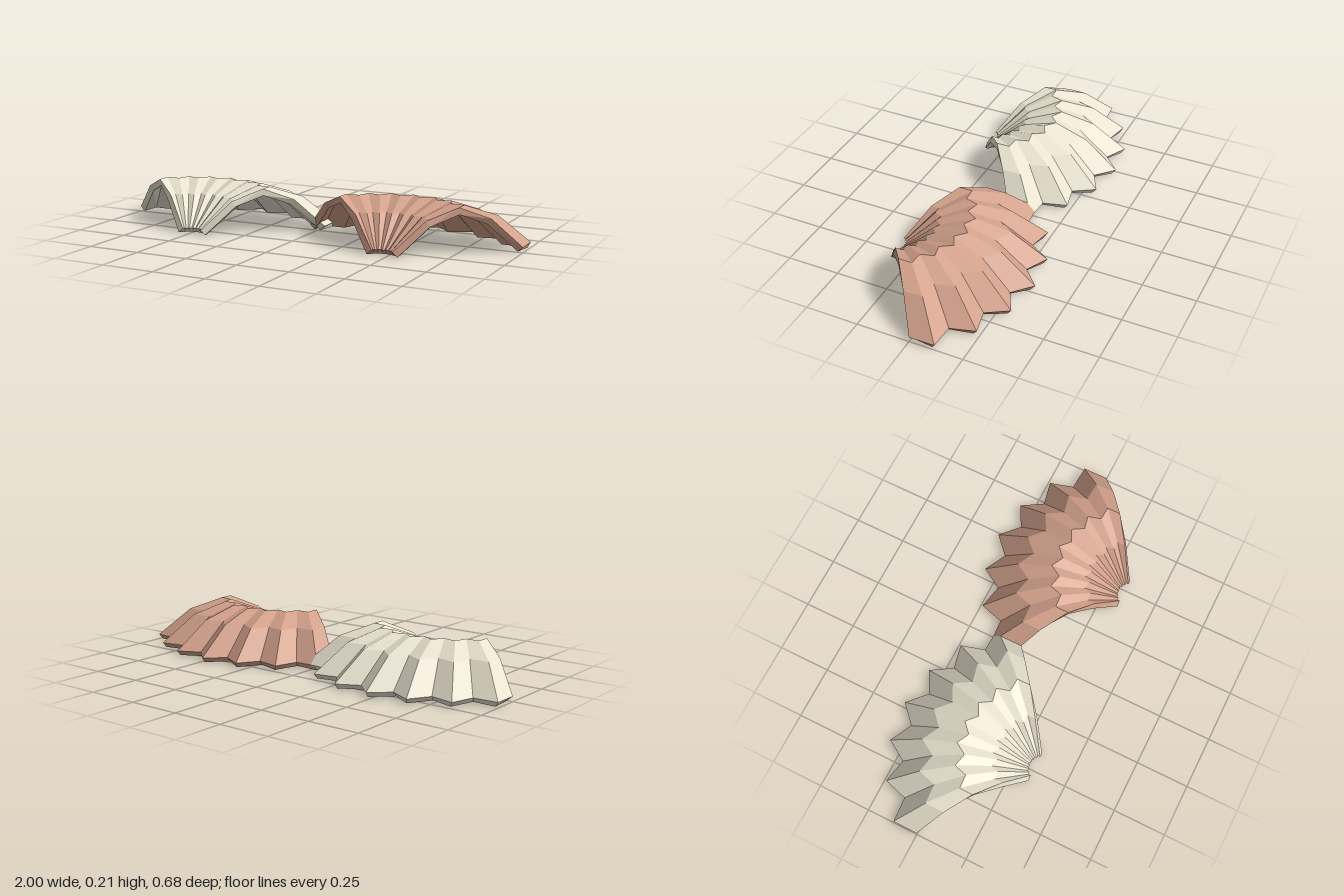
import * as THREE from 'three';

const RIBS = 14;              // folds across the fan
const BANDS = 4;              // facets along the arch
const HALF_ANGLE = THREE.MathUtils.degToRad(54.1);
const OUTER = 0.715, INNER = 0.067, VALLEY = 0.896;
const BASE = 0.025, RISE = 0.186, THICK = 0.031, PIVOT_Z = 0.375;

// Pleated fan, arched from the hinge to the rim, with a thin solid wall
function shellGeometry() {
  const row = BANDS + 1, count = (RIBS + 1) * row;
  const top = [], faces = [];
  for (let i = 0; i <= RIBS; i++) {
    const angle = HALF_ANGLE * (2 * i / RIBS - 1);
    const fold = i % 2 ? 1 : VALLEY;   // ridges and valleys alternate
    for (let j = 0; j <= BANDS; j++) {
      const t = j / BANDS;
      const r = fold * THREE.MathUtils.lerp(INNER, OUTER, t);
      top.push(r * Math.sin(angle), BASE + RISE * Math.sin(Math.PI * t), PIVOT_Z - r * Math.cos(angle));
    }
  }
  const quad = (a, b, c, d) => faces.push(a, b, c, a, c, d);
  for (let i = 0; i < RIBS; i++) {
    for (let j = 0; j < BANDS; j++) {
      const a = i * row + j;
      quad(a, a + row, a + row + 1, a + 1);
    }
  }
  const skin = new THREE.BufferGeometry();
  skin.setAttribute('position', new THREE.Float32BufferAttribute(top, 3));
  skin.setIndex([...faces]);
  skin.computeVertexNormals();

  // Underside: the outer skin pushed inwards along its normals
  const normals = skin.attributes.normal.array;
  const under = top.map((v, k) => v - THICK * normals[k]);
  const upper = faces.slice();
  for (let k = 0; k < upper.length; k += 3) {
    faces.push(upper[k] + count, upper[k + 2] + count, upper[k + 1] + count);
  }

  // Walls closing the hinge, the rim and both ends
  const wall = (a, b) => quad(b, a, a + count, b + count);
  for (let i = 0; i < RIBS; i++) {
    wall(i * row, (i + 1) * row);
    wall((i + 1) * row + BANDS, i * row + BANDS);
  }
  for (let j = 0; j < BANDS; j++) {
    wall(j + 1, j);
    wall(RIBS * row + j, RIBS * row + j + 1);
  }

  const geometry = new THREE.BufferGeometry();
  geometry.setAttribute('position', new THREE.Float32BufferAttribute([...top, ...under], 3));
  geometry.setIndex(faces);
  const flat = geometry.toNonIndexed();
  flat.computeVertexNormals();
  return flat;
}

export function createModel() {
  const group = new THREE.Group();
  const geometry = shellGeometry();
  const addShell = (name, x, color) => {
    const material = new THREE.MeshStandardMaterial({ color, flatShading: true, side: THREE.DoubleSide });
    const mesh = new THREE.Mesh(geometry, material);
    mesh.name = name;
    mesh.position.x = x;
    group.add(mesh);
  };
  addShell('creamScallopShell', -0.481, 0xeae3d0);
  addShell('pinkScallopShell', 0.481, 0xd4a28c);
  return group;
}
